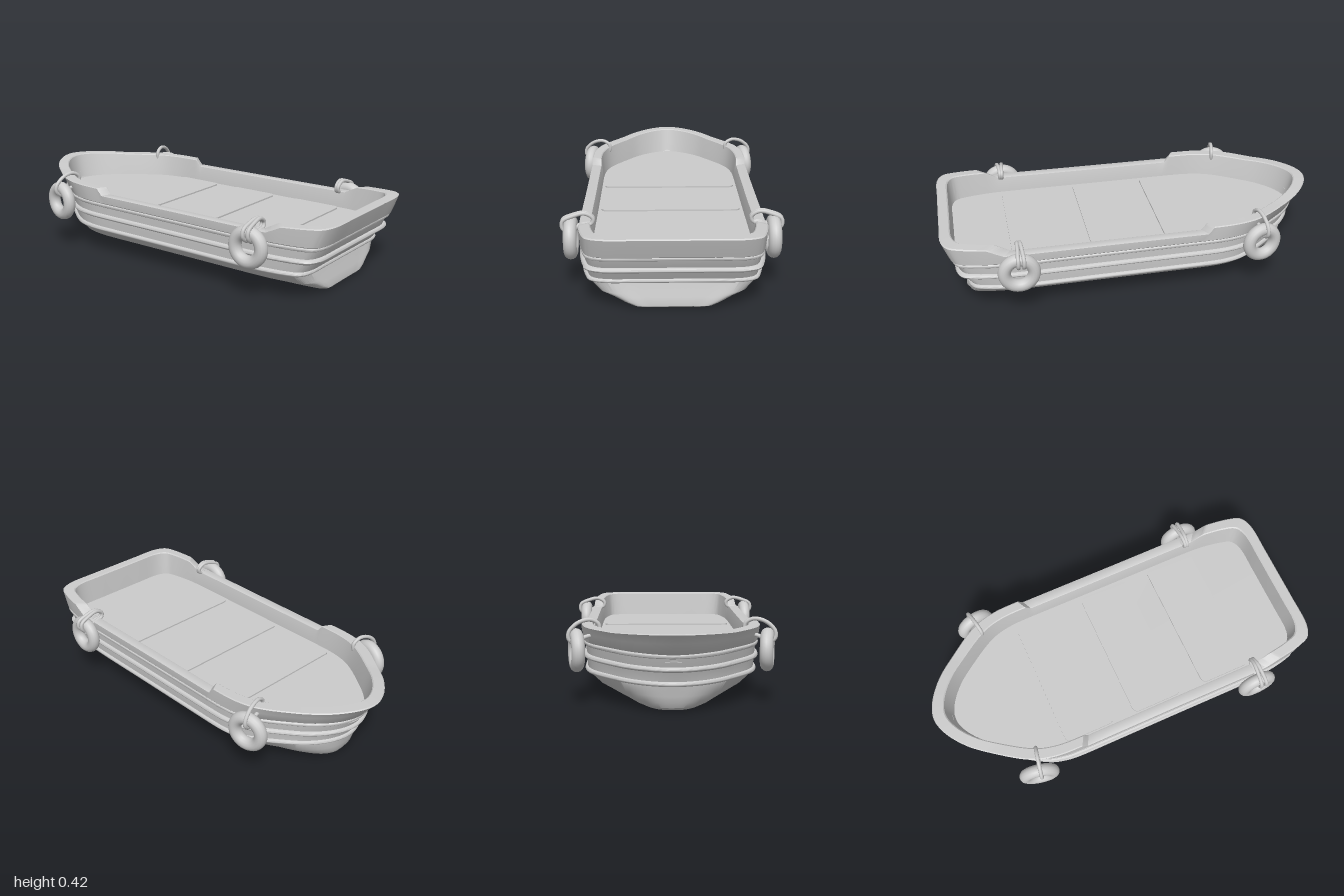
import * as THREE from 'three';
import { toCreasedNormals } from 'three/addons/utils/BufferGeometryUtils.js';

const mat = new THREE.MeshStandardMaterial({ color: 0xcccccc, side: THREE.DoubleSide });

// Half plan of the gunwale, bow (-x) to stern (+x), mirrored into a closed outline
const half = [[-0.975, 0.09], [-0.9, 0.195], [-0.8, 0.28], [-0.62, 0.4], [-0.5, 0.433], [-0.36, 0.44],
  [-0.33, 0.44], [0.2, 0.44], [0.7, 0.44], [0.78, 0.435], [0.9, 0.415], [0.965, 0.39], [0.995, 0.33], [1, 0.15]];
const plan = [[-1, 0], ...half, [1, 0], ...half.slice().reverse().map(([x, z]) => [x, -z])];
const outline = new THREE.CatmullRomCurve3(plan.map(([x, z]) => new THREE.Vector3(x, 0, z)), true)
  .getPoints(plan.length * 6).slice(0, -1);

// Height of the gunwale along the boat
const sheerLine = [[-1, 0.388], [-0.8, 0.372], [-0.36, 0.368], [-0.33, 0.332], [0.7, 0.335], [0.78, 0.375], [1, 0.388]];
function sheer(x) {
  let i = 1;
  while (i < sheerLine.length - 1 && x > sheerLine[i][0]) i++;
  const [x0, y0] = sheerLine[i - 1], [x1, y1] = sheerLine[i];
  return THREE.MathUtils.mapLinear(THREE.MathUtils.clamp(x, x0, x1), x0, x1, y0, y1);
}

// Loft through levels of [y, bowX, sternX, halfWidth, bluntness]
function loft(levels, crease = 0.5) {
  const pos = [], idx = [], n = outline.length;
  levels.forEach(([level, bow, stern, width, power = 1], r) => {
    outline.forEach((p, i) => {
      const x = THREE.MathUtils.lerp(bow, stern, (p.x + 1) / 2);
      const z = Math.sign(p.z) * width * Math.pow(Math.abs(p.z) / 0.44, power);
      let y = level;
      if (level > 0.29) y = 0.29 + (level - 0.29) / 0.098 * (sheer(p.x) - 0.29);
      if (level < 0.05) y += 0.012 * THREE.MathUtils.clamp((x + 0.7) / 0.5, 0, 1);
      pos.push(x, y, z);
      if (r === 0) return;
      const a = (r - 1) * n + i, b = (r - 1) * n + (i + 1) % n;
      idx.push(a, b, b + n, a, b + n, a + n);
    });
  });
  const g = new THREE.BufferGeometry();
  g.setAttribute('position', new THREE.Float32BufferAttribute(pos, 3));
  g.setIndex(idx);
  return toCreasedNormals(g, crease);
}

function add(parent, name, geometry) {
  const mesh = new THREE.Mesh(geometry, mat);
  mesh.name = name;
  parent.add(mesh);
  return mesh;
}

// Rounded moulding that runs round the hull
function rubRail(y, bow, stern, width, h, out) {
  const levels = [];
  for (let i = 0; i <= 6; i++) {
    const a = (i / 6 - 0.5) * Math.PI, o = out * Math.cos(a);
    levels.push([y + h * Math.sin(a), bow - o, stern + o, width + o, 0.92]);
  }
  return loft(levels, 0.8);
}

// Fender ring with rope loops over the gunwale; local z = 0 is the ring's centre
function fender(strands, top) {
  const g = new THREE.Group();
  g.name = 'fender';
  add(g, 'fenderRing', new THREE.TorusGeometry(0.073, 0.032, 14, 40)).position.y = 0.26;
  const path = new THREE.CatmullRomCurve3([[top - 0.025, -0.108], [top, -0.07], [top - 0.012, -0.01], [0.35, 0.035],
    [0.315, 0.036], [0.292, 0], [0.32, -0.035], [0.33, -0.07], [0.335, -0.1]]
    .map(([y, z]) => new THREE.Vector3(0, y, z)), true);
  for (let i = 0; i < strands; i++) {
    const rope = add(g, 'rope', new THREE.TubeGeometry(path, 48, 0.01, 8, true));
    const s = i - (strands - 1) / 2;
    rope.position.x = s * 0.024 + 0.01;
    rope.rotation.y = s * 0.12;
  }
  return g;
}

export function createModel() {
  const boat = new THREE.Group();
  boat.name = 'boat';

  // Hull from the flat bottom up to the bulwark
  add(boat, 'hull', loft([
    [0, 0, 0, 0], [0, -0.74, 0.885, 0.17, 0.7], [0.006, -0.785, 0.89, 0.21, 0.7], [0.022, -0.815, 0.89, 0.25, 0.72],
    [0.048, -0.83, 0.885, 0.305, 0.75], [0.08, -0.838, 0.88, 0.36, 0.8], [0.13, -0.85, 0.87, 0.415, 0.88],
    [0.15, -0.855, 0.878, 0.417, 0.92], [0.2, -0.88, 0.915, 0.42, 0.92], [0.28, -0.91, 0.945, 0.425, 0.95]]));
  add(boat, 'lowerRubRail', rubRail(0.14, -0.853, 0.87, 0.416, 0.012, 0.014));
  add(boat, 'middleRubRail', rubRail(0.212, -0.884, 0.92, 0.42, 0.013, 0.018));
  add(boat, 'upperRubRail', rubRail(0.277, -0.908, 0.943, 0.425, 0.012, 0.012));

  // Flared bulwark with a rounded top and an inner wall
  add(boat, 'bulwark', loft([
    [0.278, -0.91, 0.945, 0.425, 0.95], [0.29, -0.925, 0.965, 0.436, 0.97], [0.34, -0.96, 0.985, 0.439],
    [0.383, -0.997, 1, 0.44], [0.388, -0.992, 0.995, 0.435], [0.388, -0.938, 0.95, 0.393],
    [0.383, -0.932, 0.944, 0.388], [0.3, -0.912, 0.935, 0.38], [0.25, -0.9, 0.93, 0.376]]));
  add(boat, 'deck', loft([[0.25, -0.905, 0.932, 0.378], [0.25, 0, 0, 0]]));

  // Three flat hatch panels with rounded corners
  for (const x of [-0.28, 0.11, 0.513]) {
    const w = 0.137, d = 0.36, r = 0.03, s = new THREE.Shape();
    s.absarc(w - r, d - r, r, 0, Math.PI / 2);
    s.absarc(r - w, d - r, r, Math.PI / 2, Math.PI);
    s.absarc(r - w, r - d, r, Math.PI, Math.PI * 1.5);
    s.absarc(w - r, r - d, r, Math.PI * 1.5, Math.PI * 2);
    const panel = add(boat, 'hatchPanel', new THREE.ExtrudeGeometry(s, { depth: 0.008, bevelEnabled: false }));
    panel.rotation.x = -Math.PI / 2;
    panel.position.set(x, 0.25, 0);
  }

  // Fenders, two on each side
  for (const side of [1, -1]) {
    const turn = side > 0 ? 0 : Math.PI;
    const bow = fender(1, 0.405), stern = fender(2, 0.385);
    bow.position.set(-0.61, 0, side * 0.455);
    bow.rotation.y = turn - side * 0.2;
    stern.position.set(0.635, 0, side * 0.482);
    stern.rotation.y = turn;
    boat.add(bow, stern);
  }
  return boat;
}
